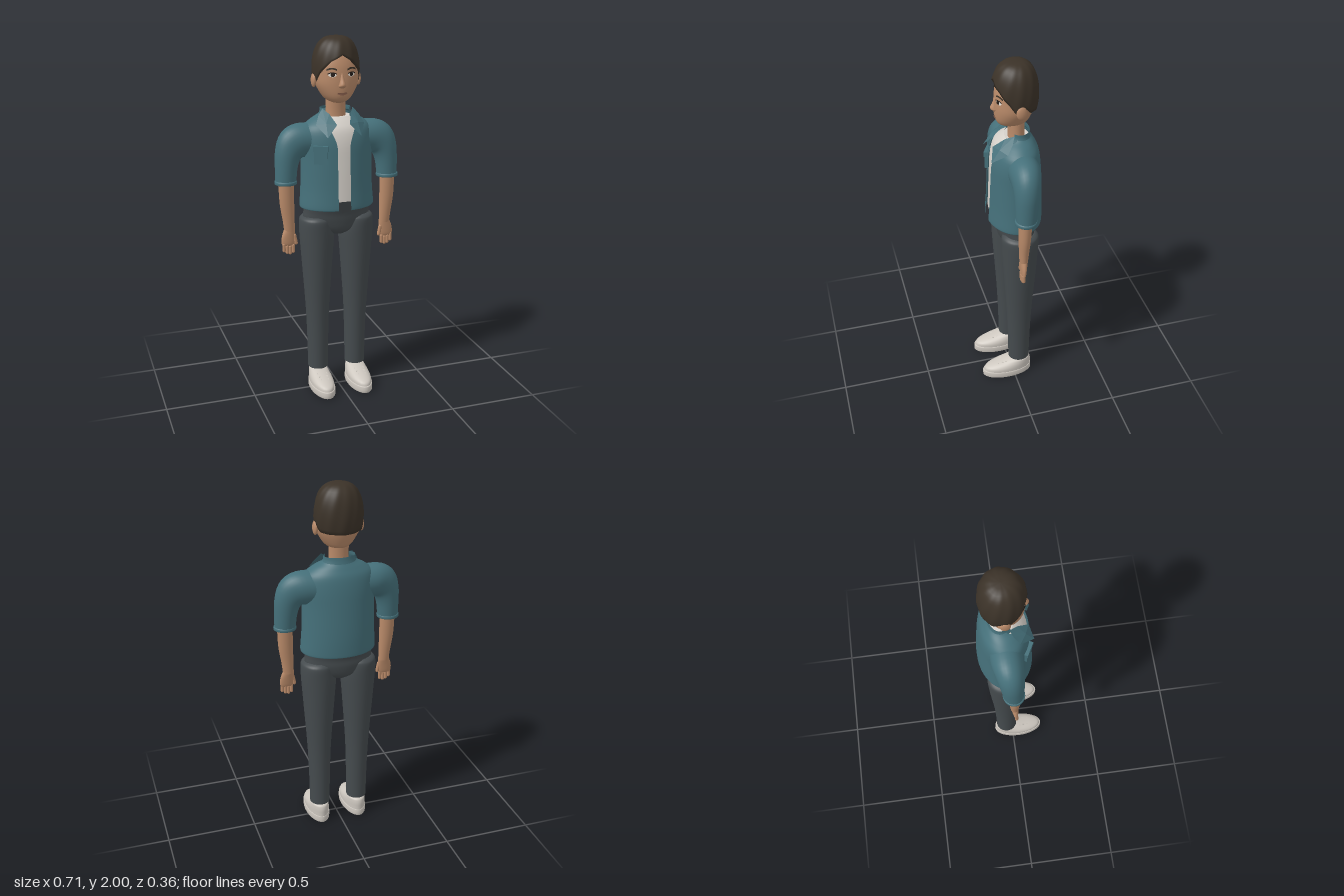
import * as THREE from 'three';

const mat = (name, color, side = THREE.FrontSide) => {
  const m = new THREE.MeshStandardMaterial({ color, side });
  m.name = name;
  return m;
};

// Surface through rows of points, rows running bottom to top, optionally closed and capped
function grid(rows, closed = true, caps = true) {
  const n = rows[0].length, pos = rows.flat(2), idx = [];
  for (let i = 0; i < rows.length - 1; i++)
    for (let j = 0; j < (closed ? n : n - 1); j++) {
      const a = i * n + j, b = i * n + (j + 1) % n;
      idx.push(a, a + n, b, b, a + n, b + n);
    }
  if (closed && caps) for (const top of [false, true]) {
    const ring = rows[top ? rows.length - 1 : 0], base = pos.length / 3;
    const mid = [0, 1, 2].map(k => ring.reduce((s, p) => s + p[k], 0) / n);
    pos.push(...ring.flat(), ...mid);
    for (let j = 0; j < n; j++) {
      const a = base + j, b = base + (j + 1) % n;
      idx.push(base + n, top ? b : a, top ? a : b);
    }
  }
  const g = new THREE.BufferGeometry();
  g.setAttribute('position', new THREE.Float32BufferAttribute(pos, 3));
  g.setIndex(idx);
  g.computeVertexNormals();
  return g;
}

// Smooth in-between rings
function dense(rings, k = 4) {
  const out = [], at = i => rings[Math.min(rings.length - 1, Math.max(0, i))];
  for (let i = 0; i < rings.length - 1; i++)
    for (let s = 0; s < k; s++) {
      const t = s / k;
      out.push(rings[i].map((b, c) => {
        const a = at(i - 1)[c], d = at(i + 1)[c], e = at(i + 2)[c];
        return b + 0.5 * t * (d - a + t * (2 * a - 5 * b + 4 * d - e + t * (3 * (b - d) + e - a)));
      }));
    }
  out.push(at(rings.length - 1));
  return out;
}

// Ring: [x, y, z, rx, rz, tilt]; gap(y) is the half-width of an opening at the front
function loft(rings, { gap = null, seg = 32, k = 4 } = {}) {
  const rows = dense(rings, k).map(([x, y, z, rx, rz, tilt = 0]) => {
    const g = gap ? Math.asin(Math.min(0.93, gap(y) / rx)) : 0, row = [];
    for (let j = 0; j < (gap ? seg + 1 : seg); j++) {
      const t = Math.PI / 2 + g + (j / seg) * (Math.PI * 2 - 2 * g);
      const u = rx * Math.cos(t);
      row.push([x + u * Math.cos(tilt), y + u * Math.sin(tilt), z + rz * Math.sin(t)]);
    }
    return row;
  });
  return grid(rows, !gap);
}

const HEAD = [
  [0, 1.655, -0.01, 0.03, 0.04], [0, 1.67, -0.02, 0.062, 0.075], [0, 1.7, -0.023, 0.088, 0.091],
  [0, 1.75, -0.029, 0.114, 0.101], [0, 1.8, -0.032, 0.12, 0.102], [0, 1.86, -0.036, 0.118, 0.098],
  [0, 1.92, -0.042, 0.09, 0.078], [0, 1.97, -0.045, 0.03, 0.03]];
const FINE = dense(HEAD, 8);
function faceZ(x, y) {
  const i = Math.max(1, FINE.findIndex(r => r[1] >= y)), a = FINE[i - 1], b = FINE[i];
  const t = (y - a[1]) / (b[1] - a[1]), [, , z, rx, rz] = a.map((v, c) => v + t * (b[c] - v));
  return z + rz * Math.sqrt(Math.max(0, 1 - (x / rx) ** 2));
}
// Bends a flat shape onto the face
function onFace(geo, x, y, lift, arch = 0) {
  const p = geo.attributes.position;
  for (let i = 0; i < p.count; i++) {
    const px = p.getX(i) + x, py = p.getY(i) + y - arch * p.getX(i) ** 2;
    p.setXYZ(i, px, py, faceZ(px, py) + lift);
  }
  geo.computeVertexNormals();
  return geo;
}

// Cap of hair whose lower edge follows the hairline
function hairGeometry() {
  const line = [[0, 1.91], [30, 1.875], [58, 1.815], [74, 1.765], [84, 1.775], [96, 1.8], [115, 1.76], [180, 1.752]];
  const n = 72, m = 16, rows = [];
  for (let i = -1; i <= m; i++) {
    const row = [];
    for (let j = 0; j < n; j++) {
      const a = (j / n) * 360, d = a > 180 ? 360 - a : a;
      const q = Math.max(1, line.findIndex(l => l[0] >= d)), [d0, y0] = line[q - 1], [d1, y1] = line[q];
      const low = y0 + (y1 - y0) * (d - d0) / (d1 - d0);
      const phi = Math.acos((low - 1.83) / 0.17) * (1 - Math.max(0, i) / m);
      const th = -a * Math.PI / 180;
      const s = Math.pow(Math.sin(phi), 0.65) * (i < 0 ? 0.84 : 1) * (1 + 0.012 * Math.sin(th * 11 + 3 * phi));
      const front = 0.014 * Math.max(0, Math.cos(th));
      row.push([0.129 * s * Math.sin(th), 1.83 + 0.17 * Math.cos(phi), -0.042 + (0.115 + front) * s * Math.cos(th)]);
    }
    rows.push(row);
  }
  return grid(rows, true, false);
}

export function createModel() {
  const root = new THREE.Group();
  const skin = mat('skin', 0xb98a69), hair = mat('hair', 0x3b3228, THREE.DoubleSide);
  const teal = mat('jacket teal', 0x45707a, THREE.DoubleSide), white = mat('shirt white', 0xd6d1ca);
  const grey = mat('trouser grey', 0x454b4e), shoe = mat('shoe white', 0xcdc7bf);
  const eyeWhite = mat('eye white', 0xe4ded6), dark = mat('dark brown', 0x241c17), lip = mat('lip', 0x8f6450);
  const add = (name, geo, m, x = 0, y = 0, z = 0, parent = root) => {
    const mesh = new THREE.Mesh(geo, m);
    mesh.name = name;
    mesh.position.set(x, y, z);
    parent.add(mesh);
    return mesh;
  };

  // Head, neck and hair
  add('head', loft(HEAD), skin);
  add('neck', loft([[0, 1.53, -0.043, 0.06, 0.048], [0, 1.6, -0.043, 0.054, 0.042], [0, 1.69, -0.043, 0.054, 0.044]]), skin);
  add('hair', hairGeometry(), hair);
  add('nose', loft([[0, 1.738, 0.066, 0.012, 0.008], [0, 1.748, 0.068, 0.021, 0.021], [0, 1.76, 0.068, 0.018, 0.024],
    [0, 1.785, 0.064, 0.012, 0.016], [0, 1.815, 0.06, 0.009, 0.009]], { seg: 16 }), skin);
  add('mouth', onFace(new THREE.CircleGeometry(1, 20).scale(0.028, 0.007, 1), 0, 1.708, 0.004, -4), lip);
  for (const s of [1, -1]) {
    add('ear', new THREE.SphereGeometry(1, 16, 12).scale(0.014, 0.038, 0.027), skin, s * 0.124, 1.772, -0.037);
    add('eye', onFace(new THREE.CircleGeometry(1, 20).scale(0.02, 0.011, 1), s * 0.052, 1.808, 0.003), eyeWhite);
    add('iris', onFace(new THREE.CircleGeometry(0.0105, 16), s * 0.051, 1.809, 0.006), dark);
    add('eyelid', onFace(new THREE.PlaneGeometry(0.046, 0.005, 6, 1), s * 0.053, 1.82, 0.006, 14), dark);
    add('eyebrow', onFace(new THREE.PlaneGeometry(0.05, 0.009, 6, 1), s * 0.054, 1.841, 0.005, 12), hair);
  }

  // Jacket body, open at the front over the shirt
  const torso = [
    [0, 1.083, -0.029, 0.205, 0.147], [0, 1.1, -0.029, 0.208, 0.149], [0, 1.2, -0.033, 0.201, 0.146],
    [0, 1.35, -0.033, 0.198, 0.139], [0, 1.45, -0.033, 0.202, 0.132], [0, 1.52, -0.036, 0.19, 0.117],
    [0, 1.56, -0.042, 0.145, 0.092], [0, 1.585, -0.049, 0.1, 0.07], [0, 1.6, -0.05, 0.08, 0.06]];
  const opening = y => 0.035 + 0.055 * THREE.MathUtils.smoothstep(y, 1.42, 1.6);
  add('jacketBody', loft(torso, { gap: opening, seg: 56 }), teal);
  const inner = torso.slice(2, 8).map(([x, y, z, rx, rz]) => [x, y - 0.008, z, rx * 0.93, rz * 0.93]);
  add('shirt', loft([[0, 1.13, -0.03, 0.188, 0.135], ...inner]), white);
  add('collarStand', loft([[0, 1.57, -0.05, 0.1, 0.072], [0, 1.6, -0.053, 0.087, 0.062], [0, 1.622, -0.054, 0.085, 0.058]],
    { gap: () => 0.066 }), teal);
  for (const s of [1, -1]) {
    // Turned-down collar leaf, folded along its middle
    const edge = [[0.085, 1.622, -0.012], [0.112, 1.59, 0.005], [0.135, 1.545, 0.036], [0.093, 1.488, 0.112],
      [0.036, 1.55, 0.09], [0.06, 1.6, 0.03]];
    const pts = [[0.088, 1.555, 0.068], ...edge, edge[0]].map(p => [p[0] * s, p[1], p[2]]);
    const tris = [];
    for (let i = 1; i < pts.length - 1; i++) tris.push(...pts[0], ...(s > 0 ? [pts[i + 1], pts[i]] : [pts[i], pts[i + 1]]).flat());
    const leaf = new THREE.BufferGeometry();
    leaf.setAttribute('position', new THREE.Float32BufferAttribute(tris, 3));
    leaf.computeVertexNormals();
    add('collarLeaf', leaf, teal);
  }
  const pocket = new THREE.Group();
  pocket.name = 'chestPocket';
  pocket.position.set(-0.122, 1.39, 0.077);
  pocket.rotation.y = -0.49;
  root.add(pocket);
  add('pocketPouch', new THREE.BoxGeometry(0.072, 0.085, 0.018), teal, 0, -0.006, 0, pocket);
  add('pocketFlap', new THREE.BoxGeometry(0.08, 0.03, 0.028), teal, 0, 0.036, 0, pocket);

  // Trouser seat
  add('trouserSeat', loft([[0, 0.925, -0.037, 0.05, 0.06], [0, 0.955, -0.037, 0.13, 0.09],
    [0, 1.01, -0.037, 0.185, 0.103], [0, 1.06, -0.034, 0.187, 0.108], [0, 1.14, -0.032, 0.187, 0.134]]), grey);

  for (const s of [1, -1]) {
    const side = rings => rings.map(([x, y, z, rx, rz, tilt = 0]) => [x * s, y, z, rx, rz, tilt * s]);

    // Sleeve, cuff and bare forearm
    add('sleeve', loft(side([
      [0.29, 1.235, -0.018, 0.057, 0.054, 0], [0.285, 1.32, -0.022, 0.062, 0.06, 0.05],
      [0.272, 1.385, -0.026, 0.074, 0.066, 0.3], [0.243, 1.432, -0.032, 0.094, 0.074, 0.85],
      [0.195, 1.455, -0.038, 0.095, 0.082, 1.25], [0.11, 1.455, -0.04, 0.09, 0.085, 1.45]])), teal);
    add('cuff', loft(side([[0.291, 1.224, -0.017, 0.055, 0.052], [0.291, 1.227, -0.017, 0.061, 0.058],
      [0.291, 1.24, -0.017, 0.061, 0.058], [0.291, 1.245, -0.017, 0.056, 0.053]])), teal);
    add('forearm', loft(side([
      [0.276, 0.96, -0.011, 0.03, 0.022], [0.28, 1.02, -0.011, 0.033, 0.026],
      [0.288, 1.12, -0.012, 0.04, 0.032], [0.291, 1.25, -0.014, 0.042, 0.036]])), skin);

    // Hand with four fingers and a thumb
    add('palm', loft(side([[0.286, 0.878, -0.006, 0.032, 0.009], [0.286, 0.892, -0.006, 0.037, 0.013],
      [0.283, 0.93, -0.008, 0.038, 0.017], [0.276, 0.972, -0.011, 0.03, 0.021]])), skin);
    [[0.259, 0.86], [0.276, 0.853], [0.293, 0.857], [0.311, 0.869]].forEach(([x, y]) =>
      add('finger', new THREE.CapsuleGeometry(0.0095, 0.035, 4, 10), skin, s * x, y, -0.003));
    add('thumb', new THREE.CapsuleGeometry(0.0105, 0.045, 4, 10), skin, s * 0.247, 0.912, -0.004).rotation.z = s * -0.2;

    // Trouser leg and sock
    add('trouserLeg', loft(side([
      [0.112, 0.118, -0.036, 0.057, 0.061], [0.112, 0.3, -0.036, 0.06, 0.065], [0.113, 0.5, -0.036, 0.067, 0.073],
      [0.113, 0.8, -0.037, 0.088, 0.093], [0.113, 0.93, -0.037, 0.097, 0.1], [0.118, 1.0, -0.037, 0.092, 0.102],
      [0.118, 1.02, -0.037, 0.084, 0.094], [0.118, 1.03, -0.037, 0.065, 0.08]])), grey);
    add('sock', new THREE.CylinderGeometry(0.042, 0.042, 0.06, 20), grey, s * 0.112, 0.11, -0.038);

    // Shoe
    add('shoeSole', loft(side([[0.112, 0, 0.036, 0.06, 0.14], [0.112, 0.006, 0.037, 0.067, 0.147],
      [0.112, 0.036, 0.037, 0.067, 0.147], [0.112, 0.041, 0.036, 0.064, 0.144]]), { k: 2 }), shoe);
    add('shoeUpper', loft(side([
      [0.112, 0.035, 0.035, 0.063, 0.142], [0.112, 0.058, 0.031, 0.063, 0.138], [0.112, 0.075, 0.012, 0.06, 0.119],
      [0.112, 0.09, -0.012, 0.055, 0.093], [0.112, 0.104, -0.032, 0.049, 0.068], [0.112, 0.111, -0.038, 0.038, 0.052]])), shoe);
    [[0.045, 0.096], [0.07, 0.09], [0.095, 0.082]].forEach(([z, y], i) =>
      add('lace', new THREE.BoxGeometry(0.058 - i * 0.006, 0.008, 0.012), shoe, s * 0.112, y - 0.002, z).rotation.x = 0.35);
  }
  return root;
}
